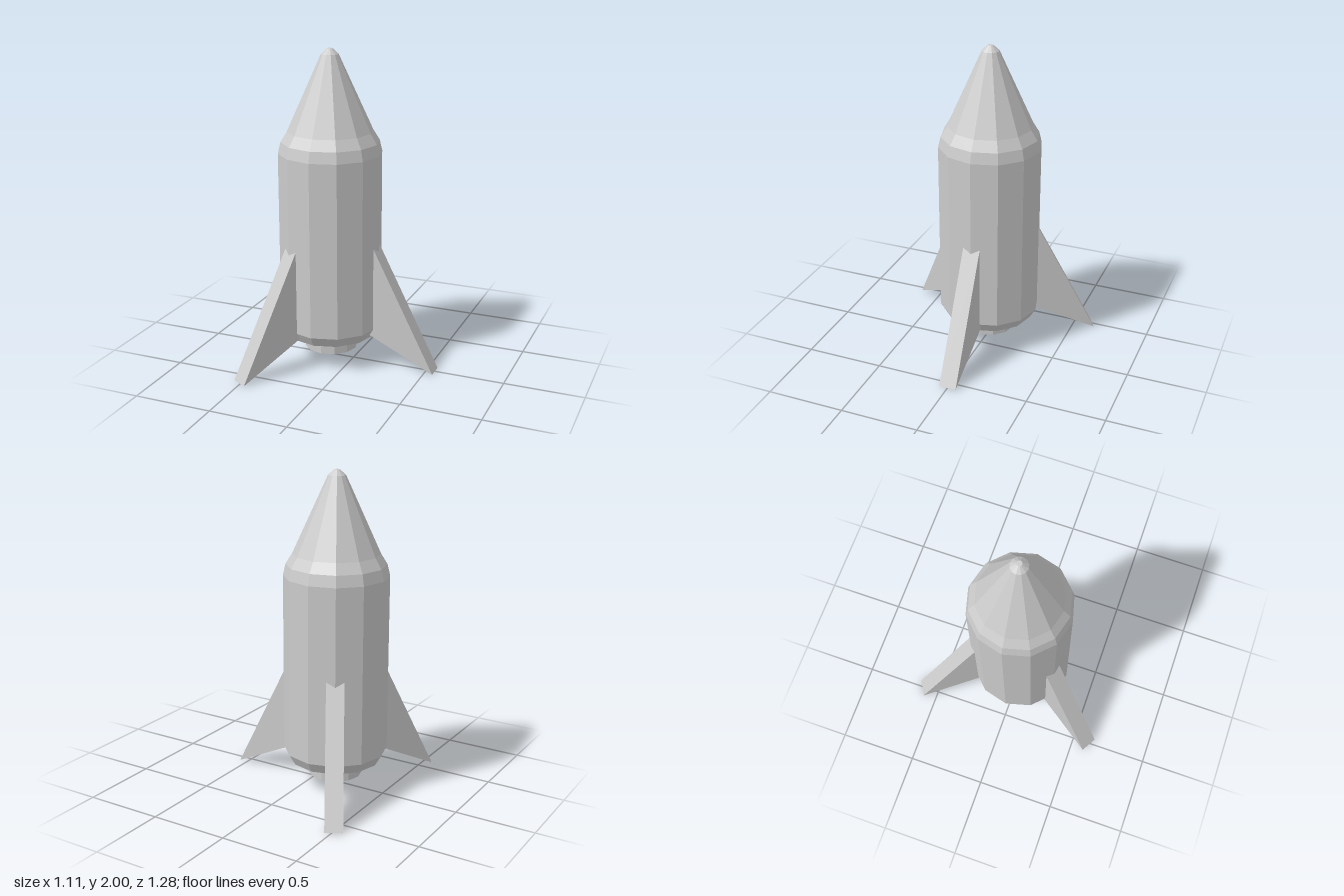
import * as THREE from 'three';

const SIDES = 12;
const AXIS_X = -0.155; // the three fins make the footprint lopsided in x
const FIN_WIDTH = 0.11;

export function createModel() {
  const model = new THREE.Group();
  model.name = 'rocket';
  const material = new THREE.MeshStandardMaterial({ color: 0xcccccc, flatShading: true });

  const add = (name, geometry) => {
    const mesh = new THREE.Mesh(geometry, material);
    mesh.name = name;
    mesh.position.x = AXIS_X;
    model.add(mesh);
    return mesh;
  };

  // Hull: bevelled base, straight tank, shoulder, nose cone and blunt tip
  const profile = [
    [0, 0.14], [0.17, 0.14], [0.288, 0.175], [0.325, 0.24],
    [0.325, 1.36], [0.308, 1.43], [0.268, 1.495],
    [0.054, 1.966], [0.017, 2], [0, 2],
  ].map(([r, y]) => new THREE.Vector2(r, y));
  add('hull', new THREE.LatheGeometry(profile, SIDES));

  // Engine nozzle, a short plug under the base
  add('nozzle', new THREE.CylinderGeometry(0.168, 0.168, 0.08, SIDES)).position.y = 0.11;

  // Swept triangular fins, rooted inside the hull
  const outline = new THREE.Shape([
    new THREE.Vector2(0.27, 0.209),
    new THREE.Vector2(0.71, 0),
    new THREE.Vector2(0.31, 0.78),
    new THREE.Vector2(0.27, 0.8),
  ]);
  const finGeometry = new THREE.ExtrudeGeometry(outline, { depth: FIN_WIDTH, bevelEnabled: false });
  finGeometry.translate(0, 0, -FIN_WIDTH / 2);
  ['leftFin', 'backFin', 'frontFin'].forEach((name, i) => {
    add(name, finGeometry).rotation.y = (i * Math.PI * 2) / 3;
  });

  return model;
}
